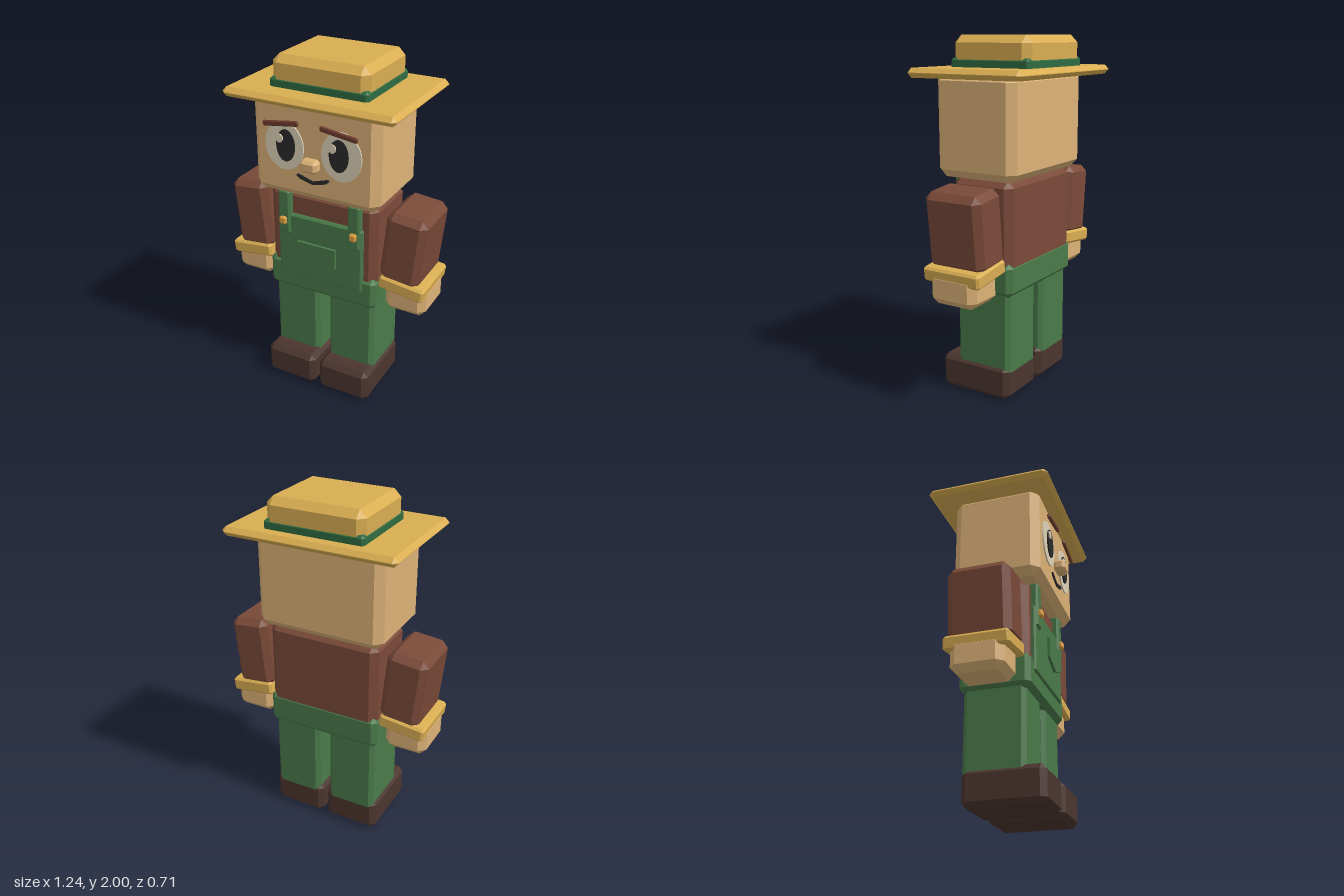
import * as THREE from 'three';
import { ConvexGeometry } from 'three/addons/geometries/ConvexGeometry.js';

const mat = (name, color) => {
  const m = new THREE.MeshStandardMaterial({ color });
  m.name = name;
  return m;
};

// Box given by its limits, with all edges and corners cut off by c
function chamferBox(w, h, d, c) {
  const pts = [];
  const x = w / 2, y = h / 2, z = d / 2;
  for (const sx of [-1, 1]) for (const sy of [-1, 1]) for (const sz of [-1, 1]) {
    pts.push(
      new THREE.Vector3(sx * x, sy * (y - c), sz * (z - c)),
      new THREE.Vector3(sx * (x - c), sy * y, sz * (z - c)),
      new THREE.Vector3(sx * (x - c), sy * (y - c), sz * z));
  }
  return new ConvexGeometry(pts);
}

export function createModel() {
  const straw = mat('straw', 0xdaae52);
  const band = mat('band green', 0x2f6b40);
  const skin = mat('skin', 0xdcb277);
  const shirt = mat('shirt brown', 0x7a4a39);
  const denim = mat('overall green', 0x4a7a4a);
  const leather = mat('boot brown', 0x4b352e);
  const white = mat('eye white', 0xdfd3b8);
  const black = mat('pupil black', 0x2b2a2a);
  const browBrown = mat('brow brown', 0x6e3c2d);
  const brass = mat('brass', 0xdc9e3e);

  const model = new THREE.Group();
  model.name = 'farmer';

  const add = (name, geometry, material, x = 0, y = 0, z = 0, rz = 0) => {
    const mesh = new THREE.Mesh(geometry, material);
    mesh.name = name;
    mesh.position.set(x, y, z);
    mesh.rotation.z = rz;
    model.add(mesh);
    return mesh;
  };
  const block = (name, m, [x0, x1], [y0, y1], [z0, z1], c, rz = 0) =>
    add(name, chamferBox(x1 - x0, y1 - y0, z1 - z0, c), m,
      (x0 + x1) / 2, (y0 + y1) / 2, (z0 + z1) / 2, rz);
  // Same block on the left (+x) and mirrored to the right
  const pair = (name, m, [x0, x1], ys, zs, c, rz = 0) => {
    block(name + 'Left', m, [x0, x1], ys, zs, c, rz);
    block(name + 'Right', m, [-x1, -x0], ys, zs, c, -rz);
  };
  const plate = (name, m, points, depth, z) => {
    const shape = new THREE.Shape(points.map(([x, y]) => new THREE.Vector2(x, y)));
    return add(name, new THREE.ExtrudeGeometry(shape, { depth, bevelEnabled: false }), m, 0, 0, z);
  };
  const disc = (name, m, x, y, z, rx, ry) => {
    const g = new THREE.CylinderGeometry(1, 1, 0.008, 28).rotateX(Math.PI / 2).scale(rx, ry, 1);
    return add(name, g, m, x, y, z);
  };

  // Head and hat
  block('head', skin, [-0.377, 0.377], [1.245, 1.81], [-0.237, 0.265], 0.045);
  block('hatBrim', straw, [-0.5, 0.5], [1.78, 1.832], [-0.355, 0.355], 0.024);
  block('hatBand', band, [-0.288, 0.288], [1.815, 1.882], [-0.274, 0.216], 0.014);
  block('hatCrown', straw, [-0.284, 0.284], [1.82, 2.0], [-0.27, 0.212], 0.04);

  // Face
  for (const s of [-1, 1]) {
    const side = s > 0 ? 'Left' : 'Right';
    disc('eye' + side, white, s * 0.17, 1.54, 0.269, 0.117, 0.136);
    disc('pupil' + side, black, s * 0.158, 1.545, 0.277, 0.056, 0.089);
    disc('glint' + side, white, s * 0.158 - 0.033, 1.583, 0.285, 0.021, 0.024);
  }
  pair('brow', browBrown, [0.062, 0.278], [1.659, 1.689], [0.293, 0.309], 0.006, -0.14);
  block('nose', skin, [-0.05, 0.05], [1.433, 1.503], [0.262, 0.33], 0.016);
  plate('mouth', black, [[-0.1, 1.388], [-0.08, 1.37], [0, 1.349], [0.08, 1.37], [0.1, 1.388],
    [0.09, 1.396], [0, 1.368], [-0.09, 1.396]], 0.008, 0.265);

  // Torso and overalls
  block('torso', shirt, [-0.335, 0.335], [0.7, 1.25], [-0.193, 0.187], 0.04);
  block('waist', denim, [-0.342, 0.342], [0.608, 0.8], [-0.197, 0.2], 0.028);
  block('bib', denim, [-0.265, 0.265], [0.715, 1.105], [0.17, 0.212], 0.01);
  pair('strap', denim, [0.18, 0.255], [0.98, 1.25], [0.17, 0.224], 0.012);
  pair('button', brass, [0.198, 0.24], [1.045, 1.09], [0.215, 0.244], 0.008);
  plate('pocket', denim, [[-0.12, 0.968], [-0.12, 0.85], [0, 0.806], [0.12, 0.85], [0.12, 0.968]],
    0.016, 0.236);

  // Arms lean outward at the top
  pair('sleeve', shirt, [0.36, 0.595], [0.8, 1.22], [-0.175, 0.172], 0.036, -0.1);
  pair('cuff', straw, [0.35, 0.616], [0.744, 0.824], [-0.177, 0.177], 0.013, -0.12);
  pair('hand', skin, [0.37, 0.615], [0.608, 0.79], [-0.145, 0.145], 0.038);

  // Legs and boots
  pair('leg', denim, [0.034, 0.322], [0.14, 0.66], [-0.174, 0.17], 0.024);
  pair('boot', leather, [0.014, 0.336], [0, 0.2], [-0.172, 0.274], 0.03);

  return model;
}
